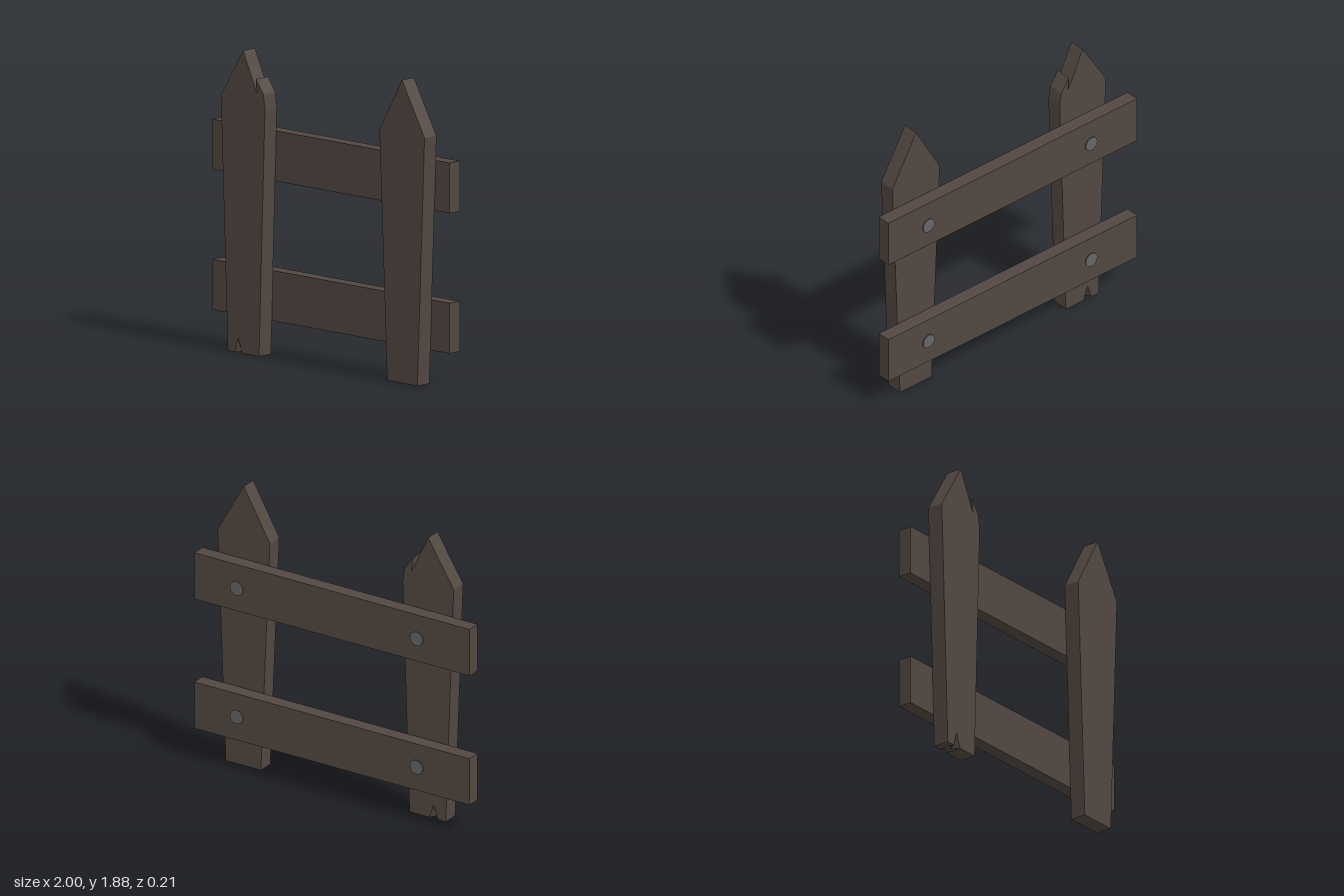
import * as THREE from 'three';

const wood = new THREE.MeshStandardMaterial({ color: 0x524741 });
const woodThin = new THREE.MeshStandardMaterial({ color: 0x524741, side: THREE.DoubleSide });
const iron = new THREE.MeshStandardMaterial({ color: 0x666666 });

const PICKET_DEPTH = 0.105;
const RAIL_DEPTH = 0.09;

function addMesh(parent, name, geometry, material, x = 0, y = 0, z = 0) {
  const mesh = new THREE.Mesh(geometry, material);
  mesh.name = name;
  mesh.position.set(x, y, z);
  parent.add(mesh);
  return mesh;
}

// Flat board cut from an outline of [x, y] points
function picketGeometry(outline) {
  const shape = new THREE.Shape(outline.map(([x, y]) => new THREE.Vector2(x, y)));
  return new THREE.ExtrudeGeometry(shape, { depth: PICKET_DEPTH, bevelEnabled: false });
}

// Sloping inner faces of the chip, meeting halfway through the board
function chipGeometry([left, apex, right]) {
  const middle = [apex[0], 0, PICKET_DEPTH / 2];
  const points = [];
  for (const z of [0, PICKET_DEPTH]) {
    for (const [a, b] of [[left, apex], [apex, right]]) {
      const face = [[...a, z], [...b, z], middle];
      points.push(...(z ? face.reverse() : face).flat());
    }
  }
  const geometry = new THREE.BufferGeometry();
  geometry.setAttribute('position', new THREE.Float32BufferAttribute(points, 3));
  geometry.computeVertexNormals();
  return geometry;
}

export function createModel() {
  const fence = new THREE.Group();
  fence.name = 'fence';

  // Broken picket: split near the tip, chipped at the foot
  const chip = [[-0.71, 0], [-0.68, 0.09], [-0.648, 0]];
  addMesh(fence, 'brokenPicket', picketGeometry([
    [-0.768, 0], ...chip, [-0.505, 0], [-0.455, 1.54], [-0.468, 1.63],
    [-0.53, 1.718], [-0.52, 1.625], [-0.64, 1.88], [-0.826, 1.578],
  ]), wood);
  addMesh(fence, 'footChip', chipGeometry(chip), woodThin);

  // Whole picket
  addMesh(fence, 'wholePicket', picketGeometry([
    [0.575, 0], [0.83, 0], [0.89, 1.545], [0.70, 1.88], [0.51, 1.545],
  ]), wood);

  // Rails behind the pickets, each with two nails
  for (const [label, y] of [['lower', 0.365], ['upper', 1.235]]) {
    addMesh(fence, label + 'Rail', new THREE.BoxGeometry(2, 0.312, RAIL_DEPTH), wood, 0, y, -RAIL_DEPTH / 2);
    for (const x of [-0.622, 0.686]) {
      const nail = new THREE.Group();
      nail.name = label + 'Nail';
      nail.position.set(x, y + (label === 'lower' ? 0.005 : 0), -RAIL_DEPTH);
      nail.rotation.x = -Math.PI / 2;
      addMesh(nail, 'nailShank', new THREE.CylinderGeometry(0.015, 0.015, 0.02, 12), iron, 0, 0, 0);
      addMesh(nail, 'nailHead', new THREE.CylinderGeometry(0.046, 0.046, 0.006, 24), iron, 0, 0.011, 0);
      fence.add(nail);
    }
  }
  return fence;
}
